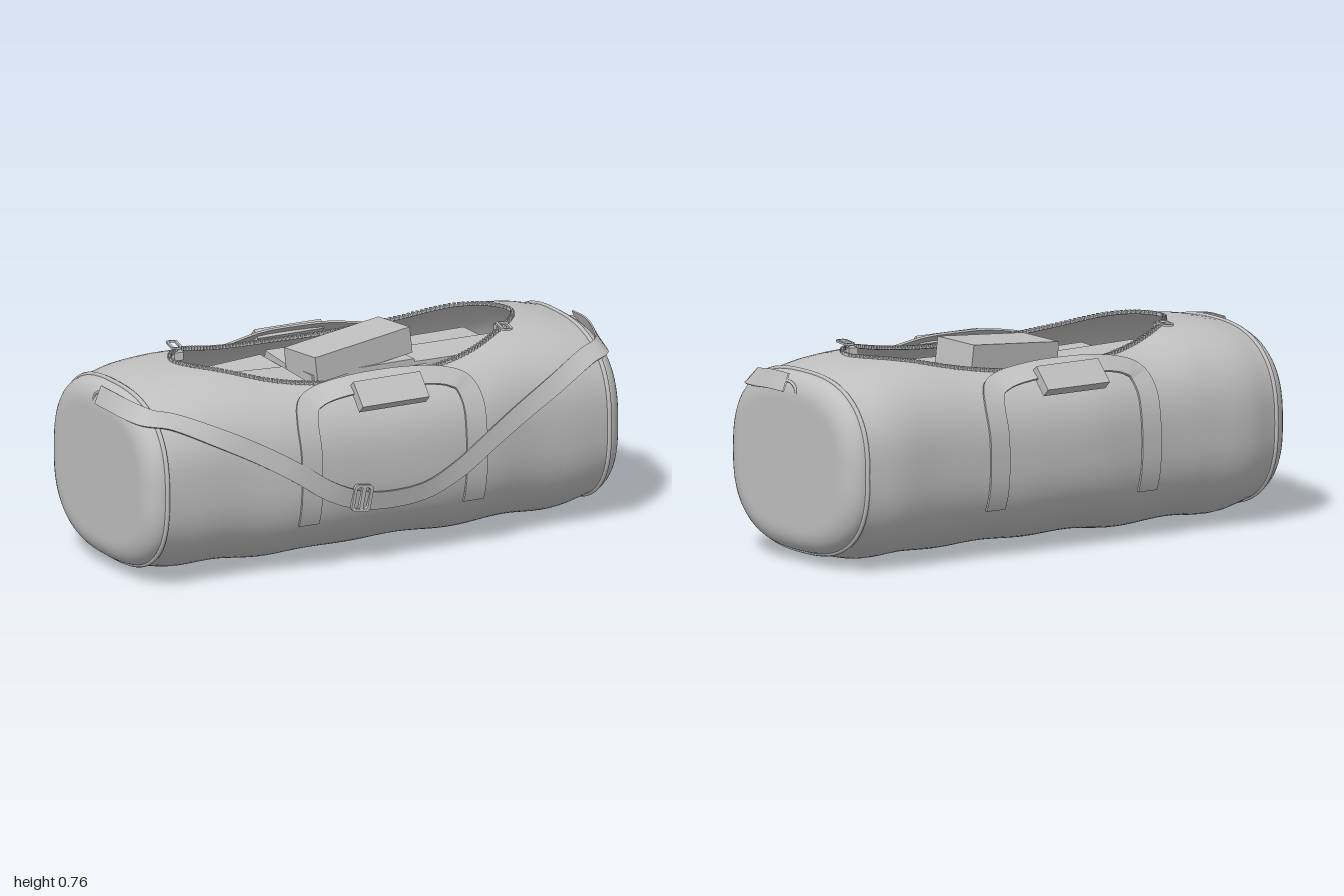
import * as THREE from 'three';
import { mergeGeometries, mergeVertices, toCreasedNormals } from 'three/addons/utils/BufferGeometryUtils.js';

const V = (x, y, z) => new THREE.Vector3(x, y, z);
const N = 2.6; // roundness of the bag's cross-section

// Stations along the bag: x, half depth, depth offset, bottom, top
const STATIONS = [
  [-0.93, 0.402, -0.005, 0.04, 0.713], [-0.8, 0.42, -0.018, 0.014, 0.738],
  [-0.6, 0.42, -0.014, 0.016, 0.752], [-0.4, 0.428, 0, 0.006, 0.735],
  [-0.1, 0.44, -0.005, 0.016, 0.728], [0.15, 0.44, 0.002, 0.016, 0.728],
  [0.4, 0.432, 0.006, 0.012, 0.738], [0.6, 0.418, -0.006, 0.014, 0.753],
  [0.8, 0.418, -0.014, 0.01, 0.74], [0.93, 0.402, -0.01, 0.04, 0.713],
];
const profile = new THREE.CubicInterpolant(
  STATIONS.map((s) => s[0]), STATIONS.flatMap((s) => s.slice(1)), 4, new Float32Array(4));

function section(x) {
  const [a, cz, bottom, top] = profile.evaluate(THREE.MathUtils.clamp(x, -0.9299, 0.9299));
  const s = THREE.MathUtils.clamp((Math.abs(x) - 0.93) / 0.07, 0, 1);
  const inset = 0.09 * (1 - Math.sqrt(1 - s * s));
  return { a: a - inset, b: (top - bottom) / 2 - inset, cz, cy: (top + bottom) / 2 };
}
const power = (v) => Math.sign(v) * Math.abs(v) ** (2 / N);

// Point on the bag; t = 0 is the front, PI / 2 the top
function surface(x, t, k = 1) {
  const { a, b, cz, cy } = section(x);
  return V(x, cy + k * b * power(Math.sin(t)), cz + k * a * power(Math.cos(t)));
}
// Point on the front (side 1) or back (side -1) at a given height
function wall(x, y, side = 1) {
  const { a, b, cz, cy } = section(x);
  return V(x, y, cz + side * a * Math.max(0, 1 - Math.abs((y - cy) / b) ** N) ** (1 / N));
}
function normalAt(p) {
  const { a, b, cz, cy } = section(THREE.MathUtils.clamp(p.x, -0.93, 0.93));
  const g = (v, r) => Math.sign(v) * Math.abs(v / r) ** (N - 1) / r;
  return V(6 * Math.sign(p.x) * Math.abs(p.x) ** 24, g(p.y - cy, b), g(p.z - cz, a)).normalize();
}

// Opening outline
const OPEN_X = 0.025, OPEN_HALF = 0.705;
function rimAngle(x) {
  const u = (x - OPEN_X) / OPEN_HALF;
  const w = 0.305 * Math.max(0, 1 - u * u) ** 0.55;
  return Math.acos((w / section(x).a) ** (N / 2));
}

// Surface through rows of points
function grid(rows) {
  const cols = rows[0].length, index = [];
  for (let i = 0; i < rows.length - 1; i++) {
    for (let j = 0; j < cols - 1; j++) {
      const p = i * cols + j, q = p + cols;
      index.push(p, p + 1, q, p + 1, q + 1, q);
    }
  }
  const g = new THREE.BufferGeometry().setFromPoints(rows.flat());
  g.setIndex(index);
  return g;
}

// Flat webbing laid along points, facing away from the bag
function webbing(points, width, thick) {
  const rows = points.map((p, i) => {
    const t = points[Math.min(i + 1, points.length - 1)].clone().sub(points[Math.max(i - 1, 0)]).normalize();
    const n = normalAt(p);
    const s = n.clone().cross(t).normalize();
    const at = (u, h) => p.clone().addScaledVector(s, u * width / 2).addScaledVector(n, h);
    return [at(1, thick), at(-1, thick), at(-1, 0), at(1, 0), at(1, thick)];
  });
  const g = toCreasedNormals(grid(rows), 0.7);
  return g;
}

function roundRect(target, w, h, r) {
  const x = w / 2 - r, y = h / 2 - r, q = Math.PI / 2;
  [[x, y], [-x, y], [-x, -y], [x, -y]].forEach(([cx, cy], i) => target.absarc(cx, cy, r, i * q, (i + 1) * q));
  target.closePath();
  return target;
}
// Wire-like rounded frame
function frame(w, h, r, bar, depth) {
  const shape = roundRect(new THREE.Shape(), w, h, r);
  shape.holes.push(roundRect(new THREE.Path(), w - 2 * bar, h - 2 * bar, r * 0.6));
  return new THREE.ExtrudeGeometry(shape, { depth, bevelEnabled: false, curveSegments: 6 });
}

export function createModel() {
  const bag = new THREE.Group();
  bag.name = 'duffelBag';
  const grey = new THREE.MeshStandardMaterial({ color: 0xc0c0c0, side: THREE.DoubleSide });
  grey.name = 'grey';
  const add = (name, geometry, parent = bag) => {
    const m = new THREE.Mesh(geometry, grey);
    m.name = name;
    parent.add(m);
    return m;
  };

  // Body shell with rounded ends and an open top
  const steps = [];
  const span = (from, to, n) => { for (let i = 0; i < n; i++) steps.push([from + (to - from) * i / n, 1]); };
  const L = OPEN_X - OPEN_HALF, R = OPEN_X + OPEN_HALF;
  const cap = [];
  for (let i = 1; i <= 8; i++) cap.push([0.93 + 0.07 * Math.sin(i * Math.PI / 16), 1]);
  cap.push([1, 0.93], [1, 0.5], [1, 0]);
  cap.slice().reverse().forEach(([x, k]) => steps.push([-x, k]));
  span(-0.93, L, 10);
  for (let i = 0; i < 64; i++) steps.push([OPEN_X - OPEN_HALF * Math.cos(i * Math.PI / 64), 1]);
  span(R, 0.93, 8);
  steps.push([0.93, 1], ...cap);
  const rows = steps.map(([x, k]) => {
    const t0 = rimAngle(x), row = [];
    for (let j = 0; j <= 72; j++) {
      const t = t0 - (Math.PI + 2 * t0) * j / 72;
      const p = surface(x, t, k);
      // soft sagging folds along the lower sides
      const fade = Math.max(0, 1 - (x / 0.93) ** 2) * Math.max(0, -Math.sin(t));
      row.push(p.addScaledVector(normalAt(p), 0.005 * fade * Math.sin(15 * x + 3 * t)));
    }
    return row;
  });
  const body = mergeVertices(grid(rows), 1e-4);
  body.computeVertexNormals();
  add('bagBody', body);

  // Piping around both ends
  for (const side of [-1, 1]) {
    const ring = [];
    for (let i = 0; i < 48; i++) ring.push(surface(side * 0.93, i * Math.PI / 24));
    add('endPiping', new THREE.TubeGeometry(new THREE.CatmullRomCurve3(ring, true), 96, 0.009, 8, true));
  }

  // Zipper tape and teeth around the opening
  const rim = [];
  for (let i = 0; i < 80; i++) {
    const a = i * Math.PI / 40, x = OPEN_X - OPEN_HALF * Math.cos(a), t = rimAngle(x);
    rim.push(surface(x, i <= 40 ? t : Math.PI - t));
  }
  const rimCurve = new THREE.CatmullRomCurve3(rim, true);
  add('zipperTape', new THREE.TubeGeometry(rimCurve, 200, 0.005, 6, true));
  const teeth = rimCurve.getSpacedPoints(190).slice(0, -1).map((p) =>
    new THREE.BoxGeometry(0.009, 0.014, 0.014).translate(p.x, p.y + 0.004, p.z));
  add('zipperTeeth', mergeGeometries(teeth));

  // Zipper sliders with pulls
  for (const [x, z, turn] of [[-0.58, -0.19, -0.25], [0.6, 0.185, -0.2]]) {
    const zip = new THREE.Group();
    zip.name = 'zipperSlider';
    zip.position.set(x, 0.752, z);
    zip.rotation.y = turn;
    add('pull', frame(0.042, 0.1, 0.016, 0.009, 0.008).rotateX(-Math.PI / 2), zip);
    add('slider', new THREE.BoxGeometry(0.035, 0.03, 0.045).translate(0, -0.02, -Math.sign(z) * 0.05), zip);
    bag.add(zip);
  }

  // Carry handles, front and back
  for (const side of [1, -1]) {
    const half = [[-0.343, 0.19, 0], [-0.343, 0.32, 0], [-0.343, 0.46, 0], [-0.342, 0.57, 0.002],
      [-0.322, 0.622, 0.005], [-0.27, 0.642, 0.012], [-0.14, 0.648, 0.034]];
    const full = [...half, [0, 0.65, 0.038], ...half.map(([x, y, l]) => [-x, y, l]).reverse()];
    const path = new THREE.CatmullRomCurve3(full.map((p) => V(...p))).getPoints(90).map((p) => {
      const q = wall(p.x, p.y, side);
      return q.addScaledVector(normalAt(q), p.z + 0.002);
    });
    add('handleStrap', webbing(path, 0.085, 0.008));
    const grip = add('handleGrip', new THREE.BoxGeometry(0.28, 0.108, 0.04));
    grip.position.set(0, 0.648, side * 0.402);
    grip.rotation.x = -side * 0.76;
  }

  // Shoulder strap hanging across the front, hooked to both ends
  const drape = [[-0.87, 0.63], [-0.7, 0.56], [-0.55, 0.487], [-0.4, 0.4], [-0.27, 0.315], [-0.14, 0.264],
    [0, 0.25], [0.14, 0.268], [0.27, 0.33], [0.4, 0.415], [0.55, 0.495], [0.7, 0.565], [0.87, 0.63]];
  const tail = [[1, 0.675, 0], [1, 0.675, 0.1], [0.985, 0.665, 0.19], [0.95, 0.652, 0.285]];
  const line = [
    ...tail.map(([x, y, z]) => V(-x, y, z)),
    ...drape.map(([x, y]) => {
      const p = wall(x, y);
      return p.addScaledVector(normalAt(p), 0.009);
    }),
    ...tail.map((p) => V(...p)).reverse(),
  ];
  add('shoulderStrap', webbing(new THREE.CatmullRomCurve3(line).getPoints(140), 0.072, 0.006));

  // Strap buckle
  const buckle = new THREE.Group();
  buckle.name = 'strapBuckle';
  buckle.position.copy(wall(-0.14, 0.272)).add(V(0, 0, 0.012));
  buckle.rotation.set(0.06, 0, -0.16);
  add('buckleFrame', frame(0.08, 0.105, 0.018, 0.012, 0.012), buckle);
  add('buckleBar', new THREE.BoxGeometry(0.016, 0.09, 0.012).translate(0, 0, 0.008), buckle);
  bag.add(buckle);

  // Half rings on the ends
  for (const side of [-1, 1]) {
    const ring = add('strapRing', new THREE.TorusGeometry(0.05, 0.006, 8, 20, Math.PI));
    ring.rotation.y = Math.PI / 2;
    ring.position.set(side * 0.994, 0.632, -0.004);
  }

  // Wrapped bricks: x, y, z, then tilt about x, y, z
  const bricks = [
    [-0.4, 0.595, -0.01, 0, -0.05, -0.03], [-0.36, 0.56, -0.2, 0.08, 0.08, 0.03],
    [0.08, 0.585, -0.205, 0.05, -0.03, 0], [0.49, 0.56, -0.19, 0.04, 0.09, -0.03],
    [0.5, 0.595, 0.01, 0, -0.11, 0.03], [0.1, 0.58, 0.19, -0.06, -0.02, 0.02],
    [-0.34, 0.56, 0.19, -0.06, 0.05, 0], [0.5, 0.55, 0.175, -0.05, 0.08, -0.02],
    [0.06, 0.6, -0.01, 0, 0.02, 0], [0.055, 0.69, -0.015, -0.04, 0.13, 0.1],
  ];
  for (const x of [-0.42, 0.04, 0.5]) for (const z of [-0.21, 0, 0.21]) bricks.push([x, 0.46, z, 0, 0, 0]);
  for (const [x, y, z, rx, ry, rz] of bricks) {
    const brick = add('brick', new THREE.BoxGeometry(0.435, 0.1, 0.195));
    brick.position.set(x, y, z);
    brick.rotation.set(rx, ry, rz);
  }
  return bag;
}
